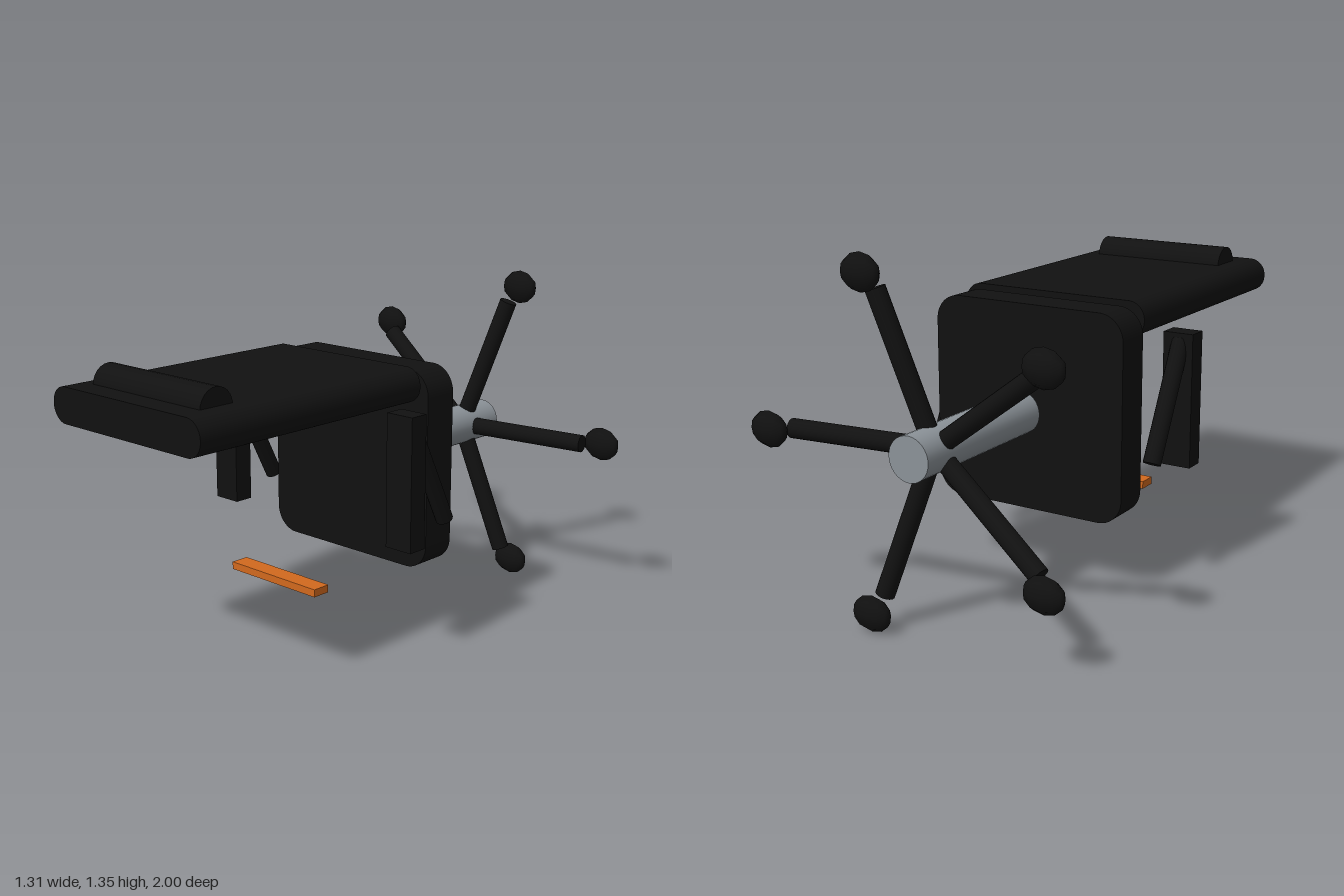
import * as THREE from 'three';

const CX = -0.063; // the chair's own centre line
const HUB_Y = 0.672;

export function createModel() {
  const group = new THREE.Group();
  group.name = 'recliningChair';
  const mat = (name, color) => {
    const m = new THREE.MeshStandardMaterial({ color });
    m.name = name;
    return m;
  };
  const black = mat('black', 0x111111);
  const steel = mat('steel', 0x8c9399);
  const orange = mat('orange', 0xd2691e);

  const add = (name, geometry, material, x = 0, y = 0, z = 0) => {
    const mesh = new THREE.Mesh(geometry, material);
    mesh.name = name;
    mesh.position.set(x, y, z);
    group.add(mesh);
    return mesh;
  };

  // Rounded rectangle in x and y, extruded along z
  const slab = (w, h, r, depth) => {
    const a = w / 2, b = h / 2;
    const s = new THREE.Shape();
    s.moveTo(-a + r, -b);
    s.lineTo(a - r, -b);
    s.absarc(a - r, -b + r, r, -Math.PI / 2, 0);
    s.lineTo(a, b - r);
    s.absarc(a - r, b - r, r, 0, Math.PI / 2);
    s.lineTo(-a + r, b);
    s.absarc(-a + r, b - r, r, Math.PI / 2, Math.PI);
    s.lineTo(-a, -b + r);
    s.absarc(-a + r, -b + r, r, Math.PI, Math.PI * 1.5);
    return new THREE.ExtrudeGeometry(s, { depth, bevelEnabled: false, curveSegments: 8 });
  };

  // Cylinder between two points
  const rod = (name, from, to, radius, material, sides = 16) => {
    const a = new THREE.Vector3(...from), b = new THREE.Vector3(...to);
    const dir = b.clone().sub(a);
    const mesh = add(name, new THREE.CylinderGeometry(radius, radius, dir.length(), sides), material);
    mesh.position.copy(a).add(b).multiplyScalar(0.5);
    mesh.quaternion.setFromUnitVectors(new THREE.Vector3(0, 1, 0), dir.normalize());
  };

  // Cushions
  add('seat', slab(0.81, 0.79, 0.1, 0.148), black, CX, 0.677, -0.265);
  add('backrest', slab(0.785, 0.136, 0.066, 1.085), black, CX, 1.02, -0.085);
  rod('headrest', [CX - 0.285, 1.083, 0.833], [CX + 0.285, 1.083, 0.833], 0.073, black, 24);

  // Loose accent bar
  add('accentBar', new THREE.BoxGeometry(0.452, 0.03, 0.075), orange, CX, 0.266, 0.278);

  // Armrests
  for (const side of [-1, 1]) {
    const x = CX + side * 0.468;
    add('armPad', new THREE.BoxGeometry(0.12, 0.515, 0.08), black, x, 0.703, 0.08);
    rod('armSupport', [x, 0.93, 0.065], [x, 0.505, -0.15], 0.034, black);
  }

  // Gas lift
  rod('gasLift', [CX, HUB_Y, -0.307], [CX, HUB_Y, -0.987], 0.082, steel, 32);

  // Five-legged base with flattened casters
  for (let i = 0; i < 5; i++) {
    const t = (i * Math.PI * 2) / 5;
    const at = (r, z) => [CX + r * Math.cos(t), HUB_Y + r * Math.sin(t), z];
    rod('baseLeg', at(0.055, -0.848), at(0.575, -0.912), 0.036, black);
    const ball = new THREE.SphereGeometry(0.08, 8, 6).rotateZ(Math.PI / 2);
    ball.scale(1, 0.86, 0.45);
    add('caster', ball, black, ...at(0.636, -0.964));
  }
  return group;
}
